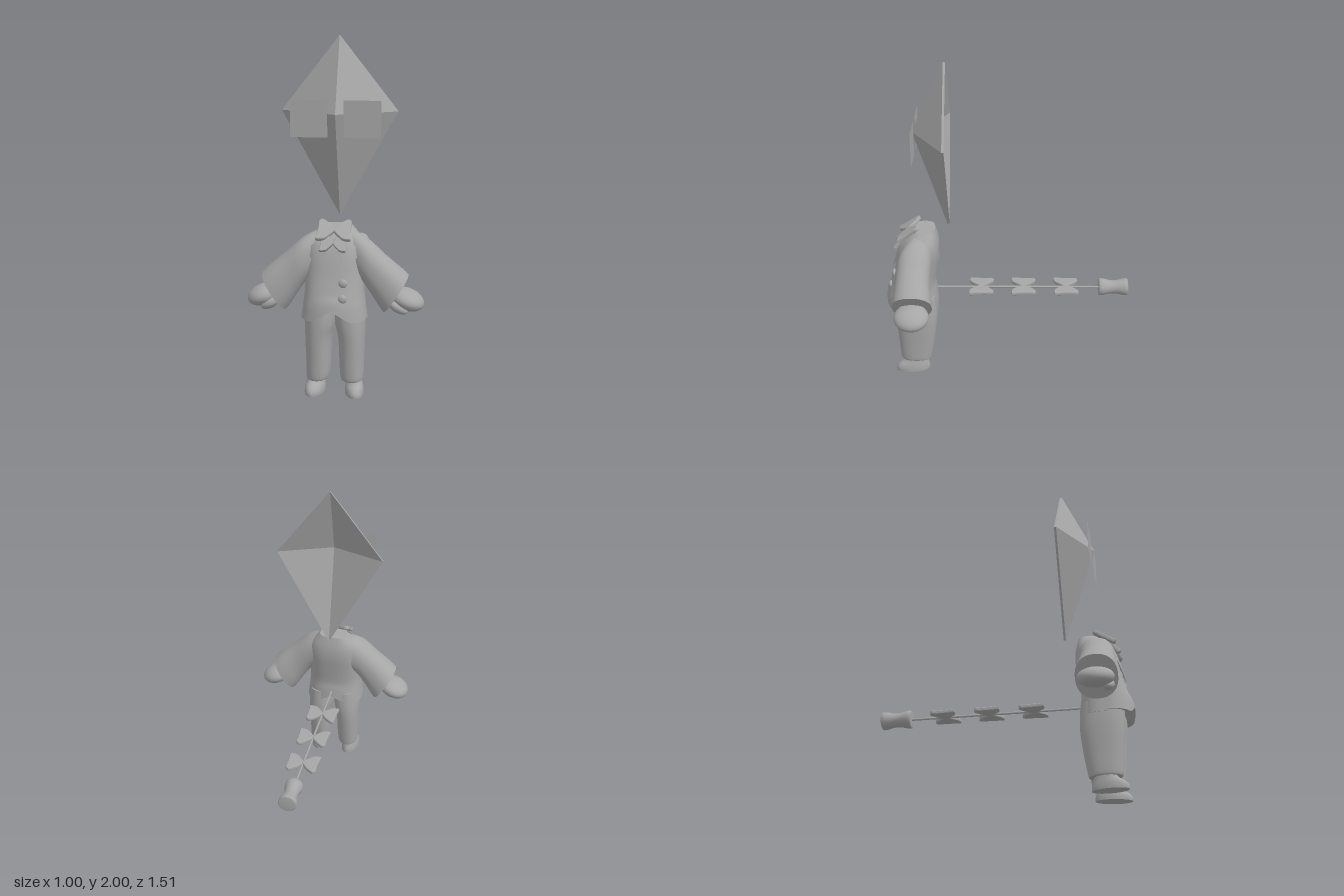
import * as THREE from 'three';

const grey = new THREE.MeshStandardMaterial({ color: 0xa6a6a6, side: THREE.DoubleSide });
grey.name = 'plain grey';

const V = (x, y, z) => new THREE.Vector3(x, y, z);

function add(parent, name, geometry, x = 0, y = 0, z = 0) {
  const mesh = new THREE.Mesh(geometry, grey);
  mesh.name = name;
  mesh.position.set(x, y, z);
  parent.add(mesh);
  return mesh;
}

// Resamples rows of numbers along a smooth spline.
function smooth(rows, n) {
  const at = i => rows[Math.min(rows.length - 1, Math.max(0, i))];
  return Array.from({ length: n + 1 }, (_, k) => {
    const t = k / n * (rows.length - 1), i = Math.min(Math.floor(t), rows.length - 2), f = t - i;
    return rows[0].map((_, c) => {
      const a = at(i - 1)[c], b = at(i)[c], d = at(i + 1)[c], e = at(i + 2)[c];
      return b + 0.5 * f * (d - a + f * (2 * a - 5 * b + 4 * d - e + f * (3 * (b - d) + e - a)));
    });
  });
}

// Skins rings {c, u, v} (centre and two half axes) into a capped body.
function loft(rings, power = 2, deform = null, seg = 36) {
  const n = rings.length, pos = [], idx = [];
  const along = rings[n - 1].c.clone().sub(rings[0].c);
  const flip = rings[1].u.clone().cross(rings[1].v).dot(along) < 0 ? -1 : 1;
  const rows = [[rings[0], 0], [rings[0], 1], ...rings.map(r => [r, 1]), [rings[n - 1], 1], [rings[n - 1], 0]];
  const bend = a => Math.sign(a) * Math.abs(a) ** (2 / power);
  for (const [r, k] of rows) for (let j = 0; j < seg; j++) {
    const a = j / seg * Math.PI * 2;
    const p = r.c.clone().addScaledVector(r.u, k * bend(Math.cos(a))).addScaledVector(r.v, flip * k * bend(Math.sin(a)));
    if (deform) deform(p);
    pos.push(p.x, p.y, p.z);
  }
  for (let i = 0; i < rows.length - 1; i++) for (let j = 0; j < seg; j++) {
    const a = i * seg + j, b = i * seg + (j + 1) % seg;
    idx.push(a, b, b + seg, a, b + seg, a + seg);
  }
  const g = new THREE.BufferGeometry();
  g.setAttribute('position', new THREE.Float32BufferAttribute(pos, 3));
  g.setIndex(idx);
  g.computeVertexNormals();
  return g;
}

// Jacket sections: height, half width, back z, front z.
const jacketRows = smooth([
  [0.455, 0.185, 0.44, 0.755], [0.53, 0.175, 0.445, 0.745], [0.6, 0.167, 0.45, 0.725], [0.7, 0.165, 0.437, 0.695],
  [0.8, 0.165, 0.423, 0.67], [0.88, 0.15, 0.425, 0.64], [0.955, 0.09, 0.442, 0.575]], 30);
const POWER = 2.5;

// Front surface of the jacket at x, y.
function frontZ(x, y) {
  let i = jacketRows.findIndex(r => r[0] > y);
  i = i < 1 ? (i < 0 ? jacketRows.length - 1 : 1) : i;
  const a = jacketRows[i - 1], b = jacketRows[i], f = THREE.MathUtils.clamp((y - a[0]) / (b[0] - a[0]), 0, 1);
  const [, w, zb, zf] = a.map((q, k) => q + (b[k] - q) * f);
  const t = Math.min(0.96, Math.abs(x) / w);
  return (zb + zf) / 2 + (zf - zb) / 2 * (1 - t ** POWER) ** (1 / POWER);
}

// Cloth panel between four corners, hugging the jacket front.
function panel([a, b, c, d], off, n = 8) {
  const g = new THREE.PlaneGeometry(1, 1, n, n), p = g.attributes.position;
  for (let i = 0; i < p.count; i++) {
    const s = p.getX(i) + 0.5, t = p.getY(i) + 0.5;
    const mix = k => (a[k] * (1 - s) + b[k] * s) * (1 - t) + (d[k] * (1 - s) + c[k] * s) * t;
    p.setXYZ(i, mix(0), mix(1), frontZ(mix(0), mix(1)) + off);
  }
  g.computeVertexNormals();
  return g;
}

// Flat bow: two flared wings and a knot.
function bow(name) {
  const g = new THREE.Group();
  g.name = name;
  for (const s of [1, -1]) {
    const shape = new THREE.Shape();
    shape.moveTo(0.008, -0.012);
    shape.quadraticCurveTo(0.025, -0.035, 0.05, -0.06);
    shape.quadraticCurveTo(0.075, -0.072, 0.092, -0.066);
    shape.quadraticCurveTo(0.083, 0.0, 0.087, 0.06);
    shape.quadraticCurveTo(0.08, 0.085, 0.058, 0.066);
    shape.quadraticCurveTo(0.03, 0.045, 0.008, 0.012);
    const geo = new THREE.ExtrudeGeometry(shape, {
      depth: 0.01, bevelEnabled: true, bevelThickness: 0.007, bevelSize: 0.006, bevelSegments: 3, curveSegments: 8 });
    geo.translate(0, 0, -0.005);
    add(g, 'bowWing', geo).rotation.y = s > 0 ? 0 : Math.PI;
  }
  add(g, 'bowKnot', new THREE.SphereGeometry(0.014, 14, 10)).scale.z = 0.9;
  return g;
}

// Hollow diamond-shaped shell with a raised front point.
function kite() {
  const outline = [[0, 2], [-0.33, 1.58], [0, 0.98], [0.33, 1.58]];
  const f = outline.map(([x, y]) => [x, y, 0.365]), b = outline.map(([x, y]) => [x, y, 0.352]);
  const tip = [0, 1.58, 0.56], hollow = [0, 1.58, 0.49], pos = [];
  for (let i = 0; i < 4; i++) {
    const k = (i + 1) % 4;
    for (const p of [tip, f[i], f[k], hollow, b[k], b[i], f[i], b[i], b[k], f[i], b[k], f[k]]) pos.push(...p);
  }
  const g = new THREE.BufferGeometry();
  g.setAttribute('position', new THREE.Float32BufferAttribute(pos, 3));
  g.computeVertexNormals();
  return g;
}

export function createModel() {
  const model = new THREE.Group();
  model.name = 'kiteFigure';

  // Head and square eyes
  add(model, 'kiteHead', kite());
  for (const s of [1, -1]) add(model, 'eye', new THREE.PlaneGeometry(0.206, 0.206), s * 0.148, 1.555, 0.545);

  // Jacket with a notched hem front and back
  const jacketRings = jacketRows.map(([y, w, zb, zf]) => ({ c: V(0, y, (zb + zf) / 2), u: V(w, 0, 0), v: V(0, 0, (zf - zb) / 2) }));
  add(model, 'jacket', loft(jacketRings, POWER, p => {
    const k = Math.max(0, 1 - (p.y - 0.455) / 0.15);
    const notch = Math.max(0, 1 - Math.abs(p.x) / 0.11);
    p.y += k * (p.z > 0.6 ? 0.07 * notch : 0.06 * notch - 0.015);
  }, 60));

  // Shirt, buttons and chest pocket
  add(model, 'shirtFront', panel([[-0.06, 0.84], [0, 0.68], [0.06, 0.84], [0, 0.93]], 0.008));
  for (const y of [0.67, 0.588]) add(model, 'button', new THREE.SphereGeometry(0.025, 18, 12), 0.06, y, frontZ(0.06, y)).scale.z = 0.6;
  add(model, 'chestPocket', panel([[-0.13, 0.7], [-0.06, 0.69], [-0.055, 0.715], [-0.125, 0.725]], 0.007));

  for (const s of [1, -1]) {
    const m = q => q.map(([x, y]) => [s * x, y]);
    add(model, 'lapel', panel(m([[0.06, 0.93], [0.155, 0.83], [0, 0.67], [0.065, 0.83]]), 0.014));
    add(model, 'sidePocket', panel(m([[0.115, 0.53], [0.16, 0.535], [0.162, 0.56], [0.115, 0.55]]), 0.009));

    // Sleeve sections: top x, y, bottom x, y, centre z, half depth
    const rows = smooth([
      [0.04, 0.955, 0.04, 0.72, 0.515, 0.07], [0.17, 0.9, 0.14, 0.67, 0.56, 0.1], [0.28, 0.805, 0.205, 0.585, 0.57, 0.105],
      [0.37, 0.73, 0.25, 0.515, 0.57, 0.116], [0.412, 0.69, 0.275, 0.48, 0.57, 0.12]], 16);
    add(model, 'sleeve', loft(rows.map(([tx, ty, bx, by, z, d]) => ({
      c: V(s * (tx + bx) / 2, (ty + by) / 2, z), u: V(s * (tx - bx) / 2, (ty - by) / 2, 0), v: V(0, 0, d) })), 2.3));
    add(model, 'cuffButton', new THREE.SphereGeometry(0.013, 12, 8), s * 0.372, 0.655, 0.66);

    // Mitten hand with thumb
    const hand = add(model, 'hand', new THREE.SphereGeometry(1, 24, 16), s * 0.405, 0.555, 0.57);
    hand.scale.set(0.1, 0.058, 0.105);
    hand.rotation.z = -s * 0.35;
    const thumb = add(model, 'thumb', new THREE.SphereGeometry(1, 16, 12), s * 0.36, 0.525, 0.635);
    thumb.scale.set(0.06, 0.03, 0.035);
    thumb.rotation.z = -s * 0.5;

    // Trouser leg: height, centre x, half width, back z, front z
    const leg = smooth([
      [0.08, 0.1, 0.058, 0.485, 0.67], [0.1, 0.097, 0.066, 0.48, 0.678], [0.2, 0.095, 0.07, 0.462, 0.685],
      [0.33, 0.094, 0.075, 0.445, 0.695], [0.42, 0.085, 0.084, 0.442, 0.7], [0.52, 0.082, 0.08, 0.45, 0.7]], 18);
    add(model, 'trouserLeg', loft(leg.map(([y, x, w, zb, zf]) => ({
      c: V(s * x, y, (zb + zf) / 2), u: V(w, 0, 0), v: V(0, 0, (zf - zb) / 2) })), 2.3));

    // Shoe: height, half width, back z, front z
    const shoe = smooth([[0, 0.054, 0.497, 0.708], [0.02, 0.054, 0.497, 0.708], [0.045, 0.05, 0.503, 0.69], [0.07, 0.042, 0.51, 0.65], [0.1, 0.038, 0.52, 0.635]], 10);
    add(model, 'shoe', loft(shoe.map(([y, w, zb, zf]) => ({
      c: V(s * 0.112, y, (zb + zf) / 2), u: V(w, 0, 0), v: V(s * 0.012, 0, (zf - zb) / 2) }))));
  }

  // Neck bow with a drooping second layer
  const neckBow = bow('neckBow');
  neckBow.position.set(0, 0.945, 0.605);
  neckBow.rotation.x = -1;
  model.add(neckBow);
  const lowerBow = bow('lowerNeckBow');
  lowerBow.position.set(0, 0.885, 0.655);
  lowerBow.rotation.x = -0.7;
  lowerBow.scale.set(0.75, 0.7, 1);
  model.add(lowerBow);

  // Kite string with bows and a spool at the back
  add(model, 'string', new THREE.CylinderGeometry(0.007, 0.007, 1.06, 10), 0, 0.535, -0.07).rotation.x = Math.PI / 2;
  for (const z of [-0.367, -0.1, 0.165]) {
    const tailBow = bow('stringBow');
    tailBow.position.set(0, 0.538, z);
    tailBow.rotation.x = -Math.PI / 2;
    model.add(tailBow);
  }
  const profile = [[0, -0.092], [0.047, -0.092], [0.054, -0.086], [0.054, -0.066], [0.044, -0.03], [0.042, 0], [0.044, 0.03], [0.054, 0.066], [0.054, 0.086], [0.047, 0.092], [0, 0.092]];
  add(model, 'spool', new THREE.LatheGeometry(profile.map(([r, y]) => new THREE.Vector2(r, y)), 28), 0, 0.537, -0.668).rotation.x = Math.PI / 2;

  return model;
}
